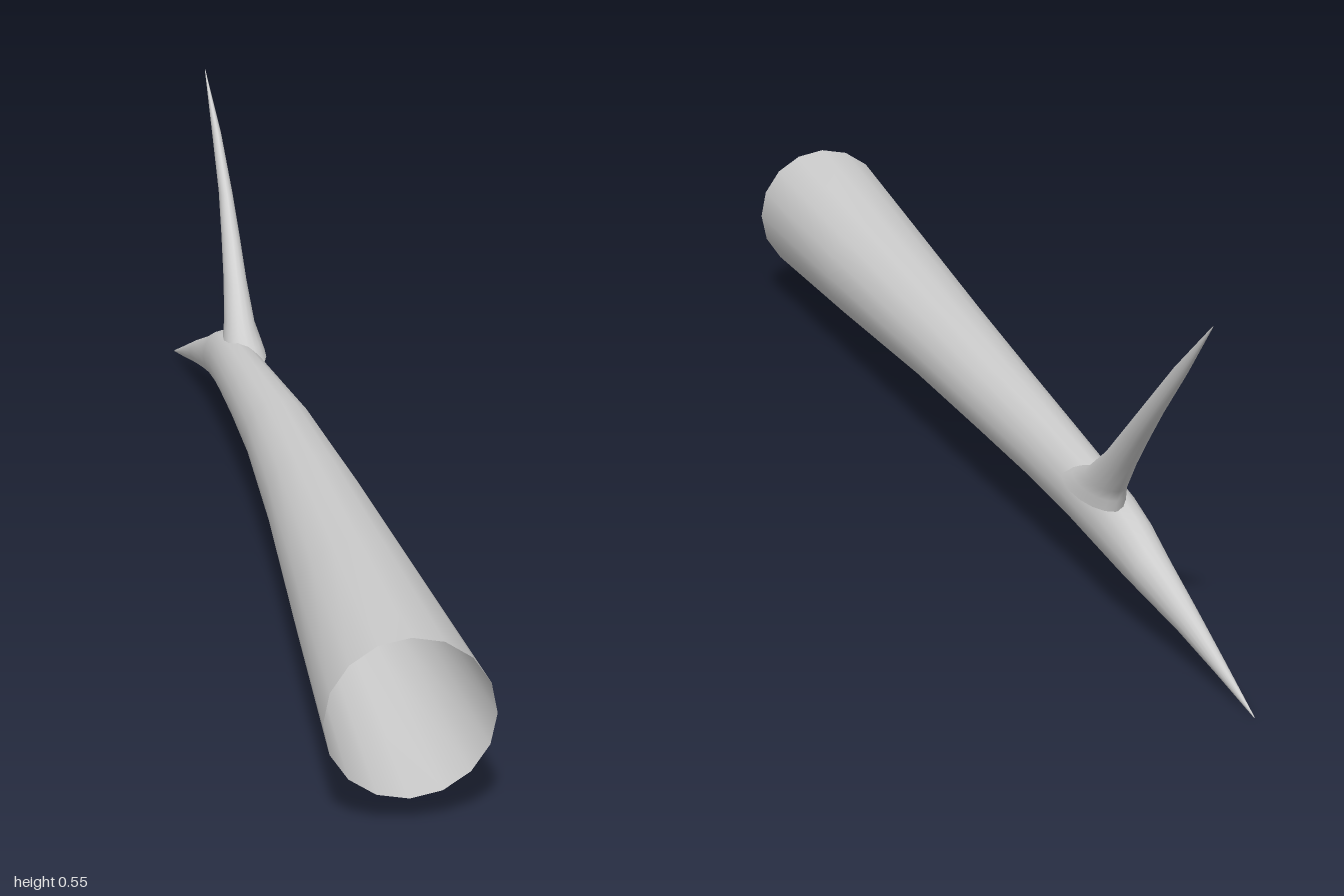
import * as THREE from 'three';

const SIDES = 16;

// Smooth open skin over a list of rings; place(section, cos, sin) gives a point
function loft(sections, place) {
  const pos = [], index = [];
  sections.forEach((s, i) => {
    for (let j = 0; j < SIDES; j++) {
      const t = (j / SIDES) * Math.PI * 2;
      pos.push(...place(s, Math.cos(t), Math.sin(t)));
      if (i === sections.length - 1) continue;
      const a = i * SIDES + j, b = i * SIDES + (j + 1) % SIDES;
      index.push(a, a + SIDES, b, b, a + SIDES, b + SIDES);
    }
  });
  const g = new THREE.BufferGeometry();
  g.setAttribute('position', new THREE.Float32BufferAttribute(pos, 3));
  g.setIndex(index);
  g.computeVertexNormals();
  return g;
}

export function createModel() {
  const group = new THREE.Group();
  const grey = new THREE.MeshStandardMaterial({ color: 0xcccccc, side: THREE.DoubleSide });
  grey.name = 'pale grey';

  // Hollow trunk tapering into the lower prong: z, left x, right x, bottom, top
  const trunkRings = [
    [1, -0.117, 0.117, 0.04, 0.272],
    [0.6, -0.096, 0.096, 0.06, 0.252],
    [0.2, -0.074, 0.074, 0.084, 0.232],
    [-0.1, -0.062, 0.056, 0.091, 0.216],
    [-0.3, -0.059, 0.038, 0.088, 0.2],
    [-0.45, -0.058, 0.026, 0.082, 0.187],
    [-0.57, -0.058, 0.018, 0.074, 0.175],
    [-0.64, -0.058, 0.01, 0.067, 0.158],
    [-0.7, -0.059, -0.002, 0.059, 0.13],
    [-0.8, -0.061, -0.025, 0.042, 0.089],
    [-0.9, -0.064, -0.046, 0.021, 0.045],
    [-1, -0.066, -0.065, 0, 0.002],
  ];
  const trunk = new THREE.Mesh(loft(trunkRings, ([z, l, r, b, t], c, s) =>
    [(l + r) / 2 + c * (r - l) / 2, (b + t) / 2 + s * (t - b) / 2, z]), grey);
  trunk.name = 'trunk';
  group.add(trunk);

  // Upper prong sweeping up and back: y, centre x, half width, front z, back z
  const prongRings = [
    [0.16, -0.003, 0.036, -0.42, -0.615],
    [0.178, -0.003, 0.031, -0.465, -0.62],
    [0.195, -0.003, 0.026, -0.515, -0.627],
    [0.25, -0.001, 0.02, -0.6, -0.677],
    [0.31, 0.001, 0.016, -0.676, -0.738],
    [0.37, 0.002, 0.012, -0.75, -0.8],
    [0.455, -0.001, 0.008, -0.85, -0.885],
    [0.547, -0.008, 0.0005, -0.964, -0.966],
  ];
  const prong = new THREE.Mesh(loft(prongRings, ([y, x, w, f, b], c, s) =>
    [x + c * w, y, (f + b) / 2 + s * (f - b) / 2]), grey);
  prong.name = 'upperProng';
  group.add(prong);

  return group;
}
